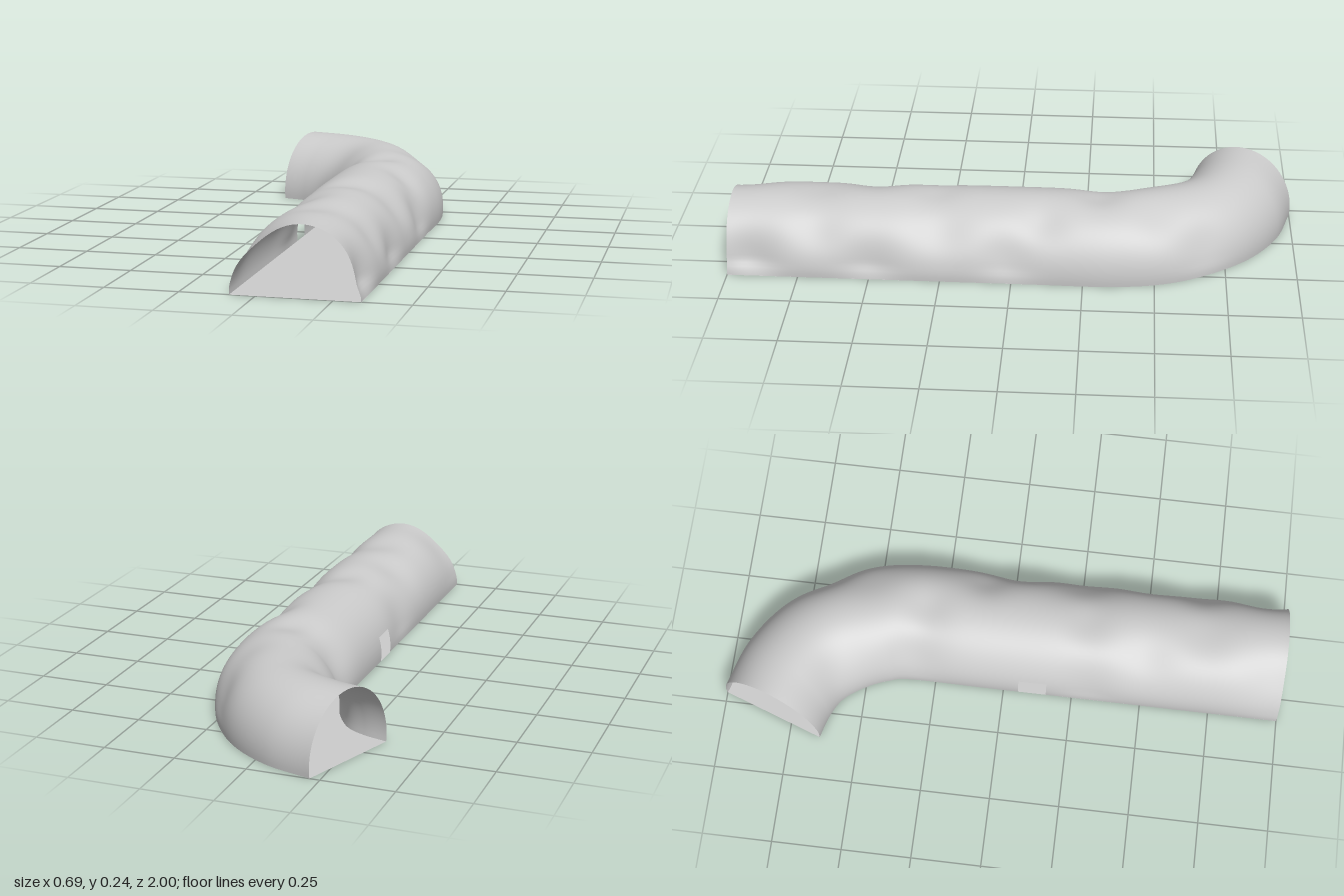
import * as THREE from 'three';

const RINGS = 160, SIDES = 48;

// Ground rails [x, z] of the tunnel: straight run, then a bend toward -x
const straight = [1, 0.73, 0.46, 0.19, -0.08, -0.34];
const outerBend = [[0.31, -0.53], [0.235, -0.69], [0.115, -0.84], [-0.04, -0.945], [-0.215, -1]];
const innerBend = [[-0.1, -0.42], [-0.135, -0.5], [-0.19, -0.575], [-0.26, -0.615], [-0.345, -0.64]];
const rail = (x, bend) => new THREE.CatmullRomCurve3(
  [...straight.map(z => [x, z]), ...bend].map(([px, pz]) => new THREE.Vector3(px, 0, pz)), false, 'catmullrom');
const outerRail = rail(0.34, outerBend);
const innerRail = rail(-0.085, innerBend);

// Soft hollows pressed into the rock: x, y, z, depth, radius
const hollows = [
  [-0.02, 0.2, 1, 0.03, 0.14], [0.33, 0.07, 0.92, 0.03, 0.1],
  [0.13, 0.24, 0.7, 0.016, 0.1], [0.3, 0.16, 0.68, 0.015, 0.09],
  [0.34, 0.06, 0.5, 0.02, 0.1], [0.03, 0.21, 0.5, 0.015, 0.1],
  [0.13, 0.24, 0.28, 0.015, 0.08], [0.29, 0.18, 0.25, 0.02, 0.11],
  [-0.07, 0.1, 0.3, 0.012, 0.1], [0.33, 0.1, 0.02, 0.02, 0.1],
  [0.25, 0.2, -0.1, 0.016, 0.08], [0.12, 0.24, -0.3, 0.018, 0.08],
  [-0.05, 0.15, -0.33, 0.018, 0.1], [0.2, 0.22, -0.52, 0.012, 0.1],
  [0.24, 0.13, -0.68, 0.016, 0.1], [-0.08, 0.16, -0.6, 0.015, 0.1],
];

function buildGeometry(points, cols, keep = () => true) {
  const geo = new THREE.BufferGeometry();
  geo.setAttribute('position', new THREE.Float32BufferAttribute(points.flatMap(p => [p.x, p.y, p.z]), 3));
  const index = [];
  for (let i = 0; i < RINGS; i++) {
    for (let j = 0; j < cols; j++) {
      const a = i * (cols + 1) + j, b = a + 1, c = a + cols + 1, d = c + 1;
      if (keep(points[a], points[d])) index.push(a, c, b, b, c, d);
    }
  }
  geo.setIndex(index);
  geo.computeVertexNormals();
  return geo;
}

export function createModel() {
  const group = new THREE.Group();
  group.name = 'tunnel';
  const material = new THREE.MeshStandardMaterial({ color: 0xcccccc, side: THREE.DoubleSide });

  const radius = 0.215, centreY = 0.028;
  const start = -Math.asin(centreY / radius);
  const shell = [], floor = [];
  for (let i = 0; i <= RINGS; i++) {
    const right = outerRail.getPoint(i / RINGS), left = innerRail.getPoint(i / RINGS);
    const middle = right.clone().add(left).multiplyScalar(0.5);
    const half = right.clone().sub(middle);
    floor.push(right, left);

    // Arched section, pulled toward its middle by the hollows
    for (let j = 0; j <= SIDES; j++) {
      const angle = start + (Math.PI - 2 * start) * j / SIDES;
      const p = middle.clone().addScaledVector(half, Math.cos(angle) / Math.cos(start));
      p.y = Math.max(0, centreY + radius * Math.sin(angle));
      const inward = middle.clone().sub(p).normalize();
      let depth = 0;
      for (const [x, y, z, amount, size] of hollows) {
        depth += amount * Math.exp(-((p.x - x) ** 2 + (p.y - y) ** 2 + (p.z - z) ** 2) / (size * size));
      }
      // Hollows fade out where the wall meets the floor
      depth *= THREE.MathUtils.smoothstep(p.y, -0.01, 0.06);
      shell.push(p.addScaledVector(inward, depth));
    }
  }

  // Small opening low in the inner wall
  const isWall = (a, d) => !(a.x < 0 && a.z < 0.165 && d.z > 0.045 && a.y < 0.1);
  const walls = new THREE.Mesh(buildGeometry(shell, SIDES, isWall), material);
  walls.name = 'tunnelWalls';

  const ground = new THREE.Mesh(buildGeometry(floor, 1), material);
  ground.name = 'tunnelFloor';

  group.add(walls, ground);
  return group;
}
